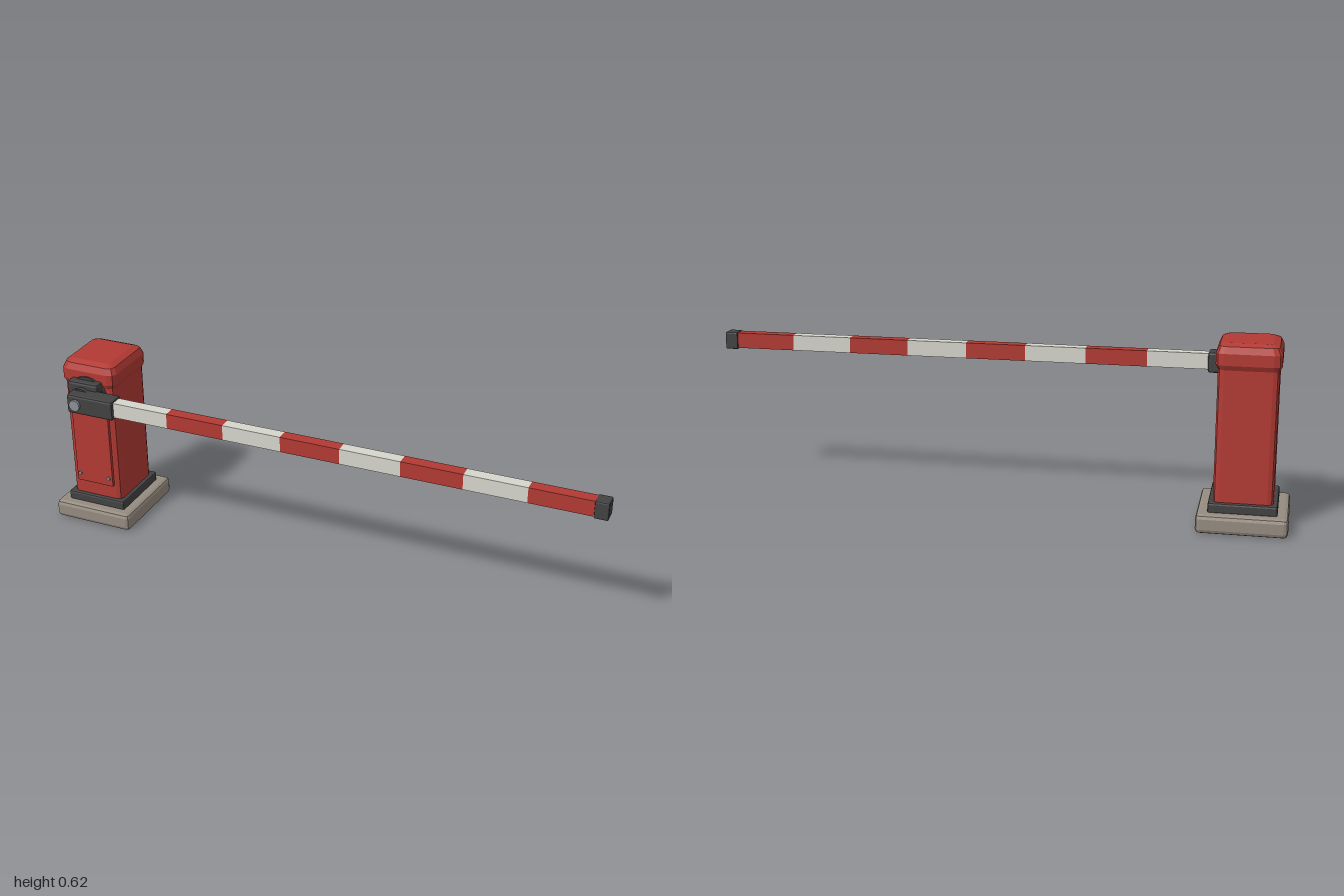
import * as THREE from 'three';

const mat = (name, color) => new THREE.MeshStandardMaterial({ name, color });

// Rounded-rectangle outline: corner radius r, two facets per corner
function ring(y, w, d, r) {
  const pts = [];
  const signs = [[1, 1], [-1, 1], [-1, -1], [1, -1]];
  signs.forEach(([sx, sz], q) => {
    for (let k = 0; k <= 2; k++) {
      const a = q * Math.PI / 2 + k * Math.PI / 4;
      pts.push([sx * (w / 2 - r) + r * Math.cos(a), y, sz * (d / 2 - r) + r * Math.sin(a)]);
    }
  });
  return pts;
}

// Closed faceted solid through stacked outlines [y, width, depth, cornerRadius]
function loft(levels) {
  const rings = levels.map((l) => ring(...l));
  const pos = [];
  const n = rings[0].length;
  const tri = (...p) => p.forEach((v) => pos.push(...v));
  const bottom = [0, levels[0][0], 0];
  const top = [0, levels[levels.length - 1][0], 0];
  for (let i = 0; i < n; i++) {
    const j = (i + 1) % n;
    for (let k = 0; k < rings.length - 1; k++) {
      const a = rings[k], b = rings[k + 1];
      tri(a[i], b[i], b[j]);
      tri(a[i], b[j], a[j]);
    }
    tri(bottom, rings[0][i], rings[0][j]);
    const last = rings[rings.length - 1];
    tri(top, last[j], last[i]);
  }
  const g = new THREE.BufferGeometry();
  g.setAttribute('position', new THREE.Float32BufferAttribute(pos, 3));
  g.computeVertexNormals();
  return g;
}

// Box with all edges bevelled in two facets
function bevelBox(w, h, d, r) {
  const k = r * 0.293;
  const level = (y, inset) => [y, w - 2 * inset, d - 2 * inset, Math.max(r - inset, 0.0002)];
  return loft([
    level(-h / 2, r), level(-h / 2 + k, k), level(-h / 2 + r, 0),
    level(h / 2 - r, 0), level(h / 2 - k, k), level(h / 2, r),
  ]);
}

export function createModel() {
  const model = new THREE.Group();
  model.name = 'barrierGate';
  const red = mat('signal red', 0xb23a34);
  const white = mat('off white', 0xd6d6cc);
  const dark = mat('dark grey', 0x424242);
  const concrete = mat('concrete', 0x968c80);
  const steel = mat('steel', 0x8c9094);

  const add = (name, geo, material, x, y, z) => {
    const m = new THREE.Mesh(geo, material);
    m.name = name;
    m.position.set(x, y, z);
    model.add(m);
    return m;
  };
  // Cylinder lying along z, from z0 to z1
  const disc = (name, r, z0, z1, material, x, y, sides = 24) => {
    const g = new THREE.CylinderGeometry(r, r, z1 - z0, sides).rotateX(Math.PI / 2);
    return add(name, g, material, x, y, (z0 + z1) / 2);
  };

  const cx = -0.852, cz = -0.026;

  // Footing and plinth
  add('footing', bevelBox(0.296, 0.063, 0.318, 0.014), concrete, cx, 0.0315, cz);
  add('plinth', bevelBox(0.224, 0.036, 0.245, 0.007), dark, cx, 0.077, cz);

  // Cabinet and flared lid
  add('cabinet', loft([[0.09, 0.194, 0.217, 0.02], [0.55, 0.194, 0.217, 0.02]]), red, cx, 0, cz);
  add('lid', loft([
    [0.53, 0.192, 0.215, 0.02],
    [0.548, 0.209, 0.234, 0.026],
    [0.586, 0.209, 0.234, 0.026],
    [0.608, 0.189, 0.214, 0.022],
    [0.617, 0.146, 0.171, 0.012],
  ]), red, cx, 0, cz);

  // Service door with screws
  add('door', bevelBox(0.145, 0.325, 0.014, 0.004), red, cx, 0.31, 0.087);
  for (const sx of [-1, 1]) {
    for (const y of [0.18, 0.442]) {
      disc('doorScrew', 0.0065, 0.09, 0.1, steel, cx + sx * 0.058, y, 12);
    }
  }

  // Drive unit and pivot
  disc('driveFlange', 0.07, 0.08, 0.098, dark, cx, 0.5, 32);
  add('driveHousing', bevelBox(0.12, 0.118, 0.042, 0.009), dark, cx, 0.5, 0.103);
  disc('pivotCollar', 0.042, 0.11, 0.138, dark, cx, 0.5);

  // Arm clamp with pivot bolt
  add('armClamp', bevelBox(0.177, 0.07, 0.065, 0.008), dark, -0.797, 0.5, 0.1445);
  disc('pivotBolt', 0.02, 0.17, 0.186, steel, cx, 0.5);

  // Striped boom arm
  const start = -0.713, step = 0.2085;
  for (let i = 0; i < 8; i++) {
    add(i % 2 ? 'armStripeRed' : 'armStripeWhite', new THREE.BoxGeometry(step, 0.054, 0.042),
      i % 2 ? red : white, start + (i + 0.5) * step, 0.502, 0.1445);
  }
  add('armEndCap', bevelBox(0.046, 0.061, 0.051, 0.005), dark, 0.977, 0.501, 0.1445);

  return model;
}
